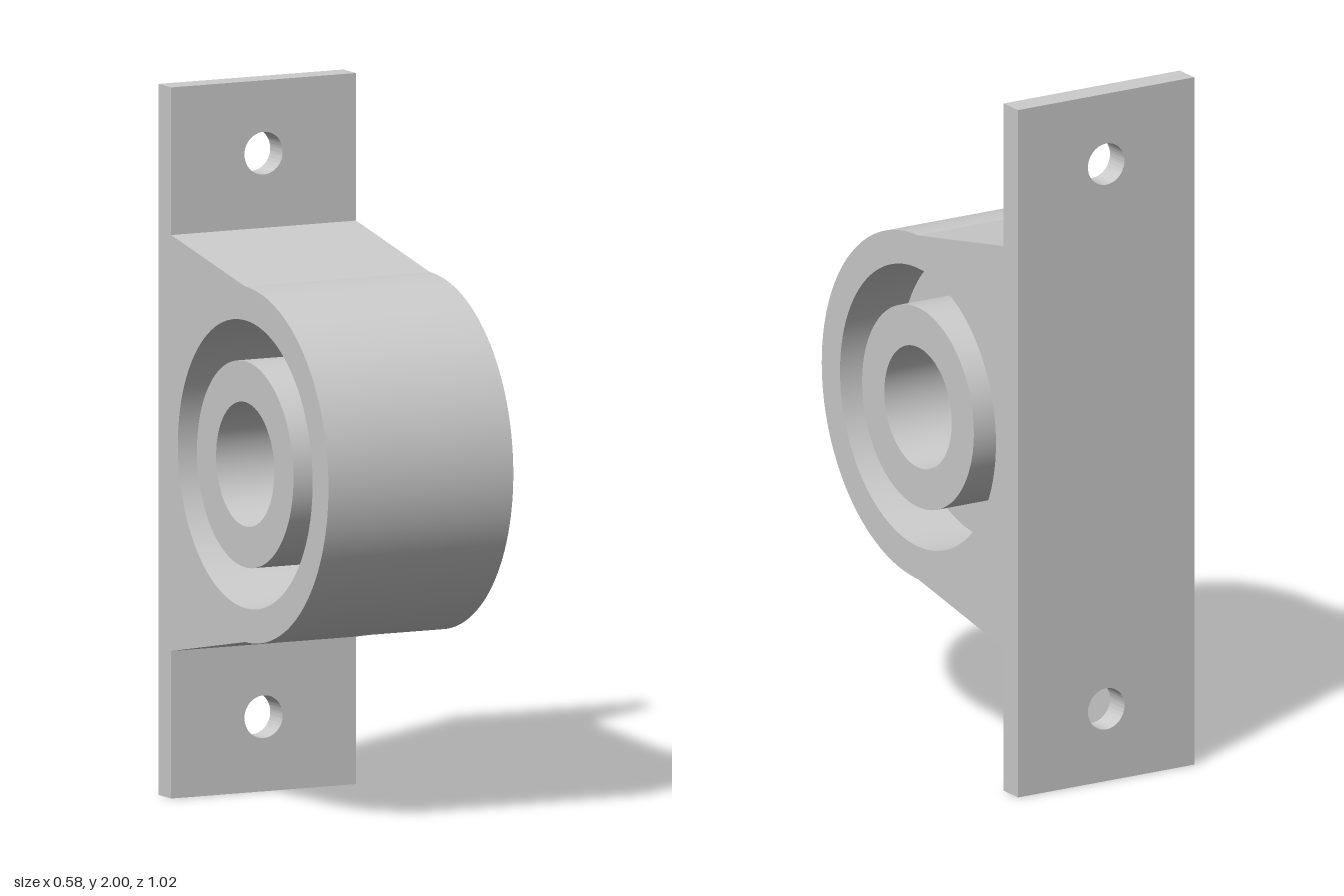
import * as THREE from 'three';
import { toCreasedNormals } from 'three/addons/utils/BufferGeometryUtils.js';

const HALF = 0.29;                 // half width along x
const BACK = -0.51, FACE = -0.435; // back and front of the mounting plate
const CY = 1, CZ = 0.01;           // bore centre

const grey = new THREE.MeshStandardMaterial({ color: 0xcccccc });

function circleHole(x, y, r) {
  return new THREE.Path().absarc(x, y, r, 0, Math.PI * 2, true);
}

function part(name, shape, depth) {
  const geo = new THREE.ExtrudeGeometry(shape, { depth, bevelEnabled: false, curveSegments: 48 });
  const mesh = new THREE.Mesh(toCreasedNormals(geo, 0.15), grey);
  mesh.name = name;
  return mesh;
}

// Side profile (drawn as -z, y) extruded along x from x0 to x1
function sidePart(name, shape, x0, x1) {
  const mesh = part(name, shape, x1 - x0);
  mesh.geometry.rotateY(Math.PI / 2);
  mesh.position.x = x0;
  return mesh;
}

function ring(outer, inner) {
  const shape = new THREE.Shape().absarc(-CZ, CY, outer, 0, Math.PI * 2, false);
  shape.holes.push(circleHole(-CZ, CY, inner));
  return shape;
}

export function createModel() {
  const group = new THREE.Group();
  group.name = 'bearingBracket';

  // Upright mounting plate with two bolt holes
  const plate = new THREE.Shape();
  plate.moveTo(-HALF, 0).lineTo(HALF, 0).lineTo(HALF, 2).lineTo(-HALF, 2).closePath();
  for (const y of [0.21, 1.795]) plate.holes.push(circleHole(0, y, 0.06));
  const plateMesh = part('mountingPlate', plate, FACE - BACK);
  plateMesh.position.z = BACK;
  group.add(plateMesh);

  // Housing: half-round nose flaring out to the plate, with a round opening
  const housing = new THREE.Shape();
  housing.moveTo(-FACE, CY - 0.585);
  housing.lineTo(-FACE, CY + 0.585);
  housing.lineTo(-CZ, CY + 0.5);
  housing.absarc(-CZ, CY, 0.5, Math.PI / 2, Math.PI * 1.5, false);
  housing.closePath();
  housing.holes.push(circleHole(-CZ, CY, 0.405));
  group.add(sidePart('housing', housing, -HALF, HALF));

  // Recessed web joining the housing to the hub
  group.add(sidePart('web', ring(0.405, 0.29), 0, 0.09));

  // Hub with through bore
  group.add(sidePart('hub', ring(0.29, 0.175), -HALF, HALF));

  return group;
}
